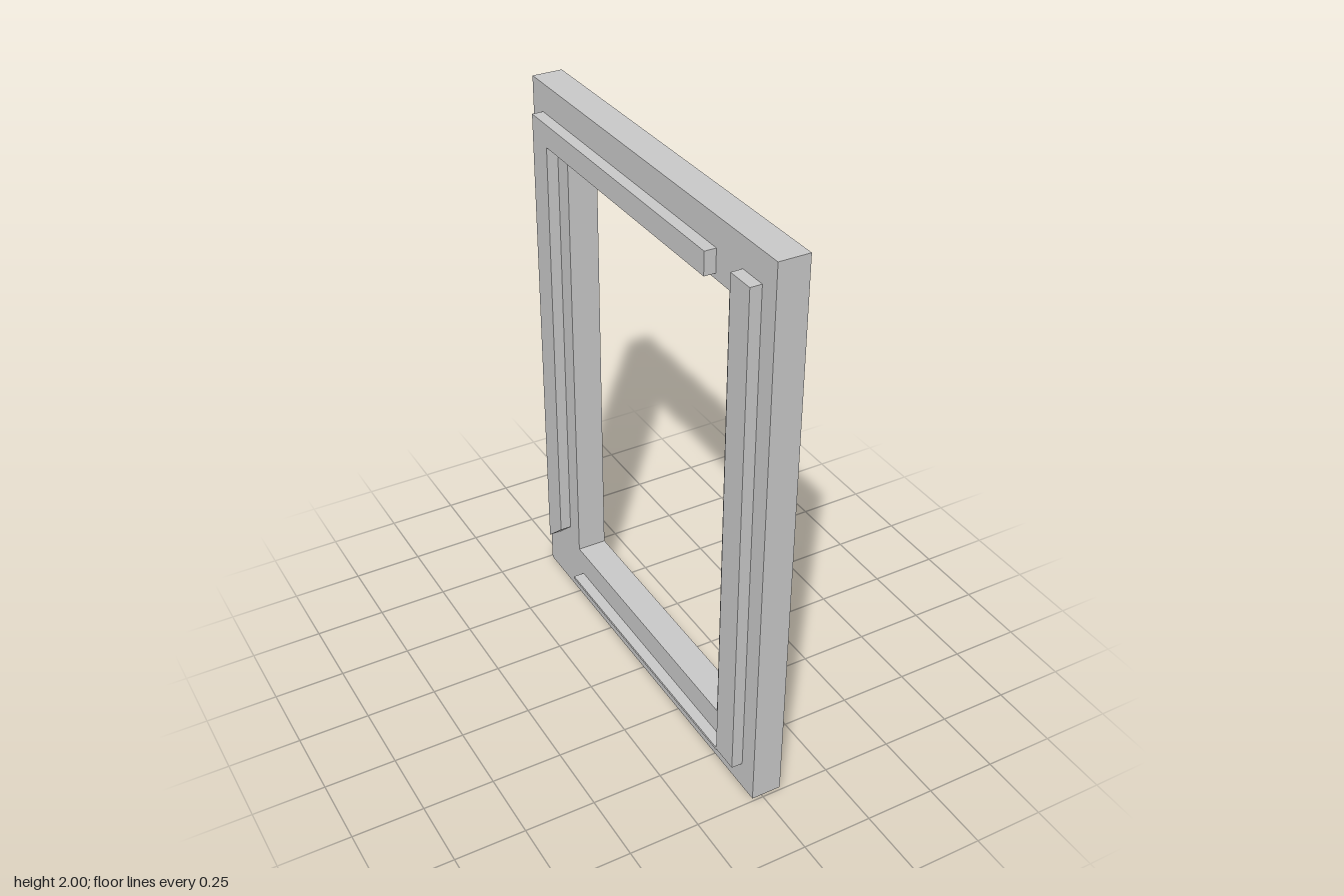
import * as THREE from 'three';

const material = new THREE.MeshStandardMaterial({ color: 0xcccccc, flatShading: true });

// Shape from [z, y] corners
const outline = (pts) => new THREE.Shape(pts.map(([z, y]) => new THREE.Vector2(z, y)));

// Extrudes a z-y outline from xStart towards -x
function slab(name, shape, xStart, depth) {
  const geometry = new THREE.ExtrudeGeometry(shape, { depth, bevelEnabled: false });
  geometry.rotateY(-Math.PI / 2).translate(xStart, 0, 0);
  const mesh = new THREE.Mesh(geometry, material);
  mesh.name = name;
  return mesh;
}

const rect = (z0, y0, z1, y1) => [[z0, y0], [z1, y0], [z1, y1], [z0, y1]];

export function createModel() {
  const group = new THREE.Group();
  group.name = 'windowFrame';

  // Main frame with its opening
  const frame = outline(rect(-0.74, 0, 0.74, 2));
  frame.holes.push(outline([[-0.5, 0.2], [-0.5, 1.81], [0, 1.805], [0.505, 1.8], [0.505, 0.2]]));
  group.add(slab('frame', frame, 0.072, 0.107));

  // Raised strips on the rear face
  const back = -0.035, raise = 0.04;
  const corner = outline([
    [-0.67, 0.17], [-0.57, 0.26], [-0.57, 1.82], [0.43, 1.82], [0.43, 1.9], [-0.67, 1.9],
  ]);
  group.add(slab('sideAndTopStrip', corner, back, raise));
  group.add(slab('sideStrip', outline(rect(0.57, 0.1, 0.67, 1.9)), back, raise));
  group.add(slab('bottomLedge', outline(rect(-0.47, 0.095, 0.57, 0.105)), back, raise));

  return group;
}
